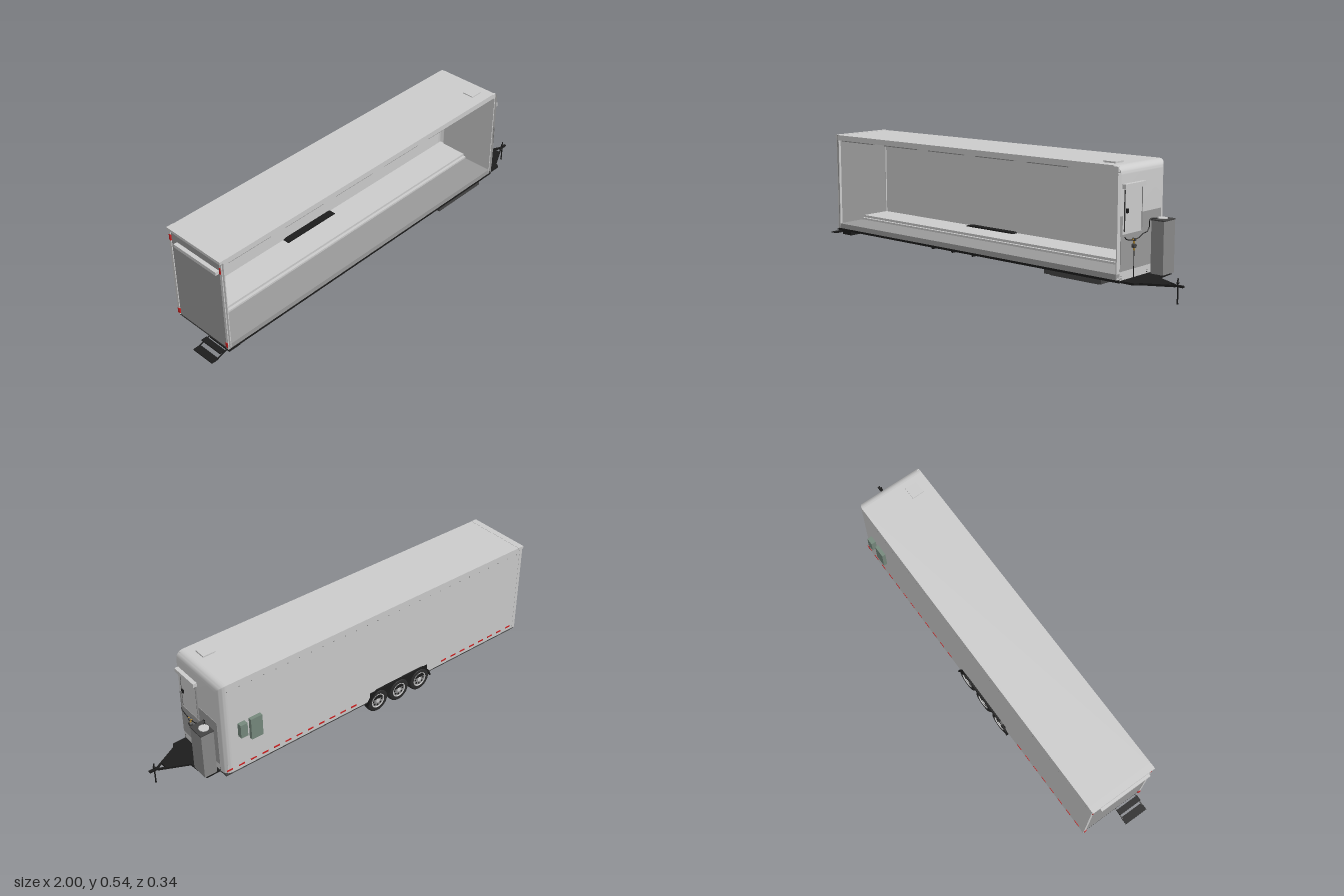
import * as THREE from 'three';
import { toCreasedNormals } from 'three/addons/utils/BufferGeometryUtils.js';

const mat = (color, side = THREE.FrontSide) => new THREE.MeshStandardMaterial({ color, side });
const GREY = mat(0xcccccc), BLACK = mat(0x1c1c1c), DARK = mat(0x444444), PLATE = mat(0x999999);
const RED = mat(0xcc2020), GREEN = mat(0x76897d), BRASS = mat(0xb08a3a), STEEL = mat(0x888888);

export function createModel() {
  const root = new THREE.Group();
  const add = (name, geo, m = GREY, parent = root) => {
    const mesh = new THREE.Mesh(geo, m);
    mesh.name = name;
    parent.add(mesh);
    return mesh;
  };
  // Box given by its limits on each axis
  const box = (name, [x0, x1], [y0, y1], [z0, z1], m, parent) => {
    const b = add(name, new THREE.BoxGeometry(x1 - x0, y1 - y0, z1 - z0), m, parent);
    b.position.set((x0 + x1) / 2, (y0 + y1) / 2, (z0 + z1) / 2);
    return b;
  };
  const shapeOf = pts => new THREE.Shape(pts.map(p => new THREE.Vector2(...p)));
  const extrude = (shape, depth) => new THREE.ExtrudeGeometry(shape, { depth, bevelEnabled: false, curveSegments: 12 });

  const L = -0.92, R = 0.73, BACK = -0.145, FRONT = 0.17, BASE = 0.077, TOP = 0.533, r = 0.035;

  // Body shell, open along the front side
  box('backWall', [L, R], [BASE, TOP], [BACK, BACK + 0.006]);
  box('roof', [L, R], [TOP - 0.012, TOP], [BACK, FRONT]);
  box('roofHeader', [L, R + 0.02], [TOP - 0.025, TOP - 0.004], [FRONT - 0.012, FRONT]);
  box('rearWall', [L, L + 0.008], [BASE, TOP], [BACK, FRONT], PLATE);
  box('noseInnerWall', [R + 0.015, R + 0.02], [BASE, TOP - 0.03], [BACK + 0.03, FRONT]);
  box('rearRoofCap', [L - 0.01, L + 0.02], [TOP - 0.012, TOP + 0.001], [BACK - 0.001, FRONT]);
  box('rearPostFront', [L - 0.004, L + 0.012], [BASE, TOP], [FRONT - 0.012, FRONT]);
  box('rearPostBack', [L - 0.004, L + 0.012], [BASE, TOP], [BACK - 0.001, BACK + 0.012]);

  // Nose skin: two rounded edges that meet in a mitre
  const N = 10;
  const arc = Array.from({ length: N + 1 }, (_, i) => i * Math.PI / 2 / N);
  const ys = [[BASE, 0], ...arc.map(a => [TOP - r + r * Math.sin(a), a])];
  const zs = [[FRONT, 0], ...arc.map(a => [BACK + r - r * Math.sin(a), a])];
  const nose = new THREE.PlaneGeometry(1, 1, zs.length - 1, ys.length - 1);
  const p = nose.attributes.position;
  for (let j = 0; j < ys.length; j++) for (let i = 0; i < zs.length; i++) {
    const [y, a] = ys[ys.length - 1 - j], [z, b] = zs[i];
    p.setXYZ(j * zs.length + i, R + r * Math.min(Math.cos(a), Math.cos(b)), y, z);
  }
  add('noseSkin', toCreasedNormals(nose, 0.6), mat(0xcccccc, THREE.DoubleSide));

  // Floor, sill and chassis
  box('raisedFloor', [L + 0.008, R + 0.02], [BASE, 0.12], [BACK + 0.005, 0.012]);
  box('lowerFloor', [L + 0.008, R + 0.02], [BASE, 0.1], [0.012, FRONT], PLATE);
  box('floorLedge', [L + 0.008, R + 0.02], [0.1, 0.109], [0.012, 0.025]);
  box('undersidePlate', [L, R + 0.033], [0.069, BASE], [BACK + 0.002, FRONT], DARK);
  box('sideRail', [L, R + 0.033], [0.067, BASE], [FRONT - 0.008, FRONT + 0.0005], BLACK);
  box('chassisBeam', [L + 0.02, R + 0.03], [0.06, 0.069], [-0.105, -0.08], BLACK);
  box('underTank', [0.38, 0.675], [0.049, 0.07], [0.01, FRONT], DARK);
  box('underTankLid', [0.40, 0.655], [0.042, 0.049], [0.04, 0.155], DARK);
  box('rearUtilityBox', [-0.84, -0.78], [0.04, 0.07], [-0.095, -0.03]);

  // Ceiling lamps along the opening
  for (const x of [-0.885, -0.59, -0.3, -0.01, 0.28])
    box('openingLamp', [x, x + 0.22], [0.504, 0.514], [FRONT - 0.02, FRONT - 0.002], STEEL);

  // Wheels
  const tyreProfile = [[0.034, -0.019], [0.05, -0.02], [0.056, -0.016], [0.058, -0.008], [0.058, 0.008],
    [0.056, 0.016], [0.05, 0.02], [0.034, 0.019]].map(q => new THREE.Vector2(...q));
  for (const x of [-0.305, -0.18, -0.055]) {
    const wheel = new THREE.Group();
    wheel.name = 'wheel';
    add('tyre', new THREE.LatheGeometry(tyreProfile, 36), mat(0x2b2b2b, THREE.DoubleSide), wheel);
    add('rim', new THREE.CylinderGeometry(0.036, 0.036, 0.03, 30), STEEL, wheel);
    add('rimRing', new THREE.TorusGeometry(0.034, 0.003, 8, 30).rotateX(Math.PI / 2), GREY, wheel).position.y = 0.017;
    add('hub', new THREE.CylinderGeometry(0.01, 0.012, 0.04, 16), GREY, wheel);
    for (let k = 0; k < 8; k++) {
      const a = k * Math.PI / 4;
      add('rimHole', new THREE.CylinderGeometry(0.005, 0.005, 0.032, 8), BLACK, wheel)
        .position.set(0.024 * Math.cos(a), 0, 0.024 * Math.sin(a));
    }
    wheel.rotation.x = -Math.PI / 2;
    wheel.position.set(x, 0.058, -0.129);
    root.add(wheel);
    const axle = add('axle', new THREE.CylinderGeometry(0.007, 0.007, 0.26, 12), BLACK);
    axle.rotation.x = Math.PI / 2;
    axle.position.set(x, 0.058, 0.01);
  }

  // Wheel arch trim
  const arch = shapeOf([[-0.37, 0.056], [-0.36, 0.085], [-0.33, 0.119], [-0.315, 0.126], [-0.045, 0.126],
    [-0.03, 0.119], [0, 0.085], [0.01, 0.056], [0.003, 0.056], [-0.008, 0.083], [-0.035, 0.112],
    [-0.05, 0.119], [-0.31, 0.119], [-0.325, 0.112], [-0.352, 0.083], [-0.363, 0.056]]);
  add('wheelArch', extrude(arch, 0.048), BLACK).position.z = -0.154;
  box('wheelWellBack', [-0.35, -0.01], [0.067, 0.12], [BACK - 0.001, BACK + 0.002], BLACK);

  // Reflective dashes and rivets on the back side
  for (let x = -0.89; x < 0.75; x += 0.06) {
    if (x < -0.41 || x > 0.015) box('redReflector', [x, x + 0.03], [0.093, 0.1], [BACK - 0.002, BACK], RED);
    box('rivet', [x, x + 0.004], [0.5, 0.504], [BACK - 0.0015, BACK], STEEL);
  }

  // Air units on the back side
  box('largeAirUnit', [0.58, 0.637], [0.215, 0.32], [-0.162, BACK], GREEN);
  box('smallAirUnit', [0.658, 0.692], [0.254, 0.32], [-0.168, BACK], GREEN);

  // Roof vent
  box('roofVent', [0.645, 0.7], [TOP, 0.538], [0.065, 0.12], GREY);
  box('roofVentLid', [0.64, 0.7], [0.536, 0.54], [0.064, 0.122], GREY);

  // Nose: tread plate with door notch, door, canopy
  const X = R + r;
  const plate = shapeOf([[-FRONT, 0.113], [0.108, 0.113], [0.108, 0.335], [-0.025, 0.335], [-0.025, 0.26],
    [-0.158, 0.26], [-0.158, 0.335], [-FRONT, 0.335]]);
  add('nosePlate', extrude(plate, 0.002).rotateY(Math.PI / 2), PLATE).position.x = X;
  box('noseDoor', [X, X + 0.004], [0.268, 0.441], [0.032, 0.147]);
  box('doorHinge', [X, X + 0.006], [0.268, 0.441], [0.03, 0.033], STEEL);
  box('doorEdge', [X, X + 0.005], [0.272, 0.437], [0.146, 0.148], DARK);
  box('doorHandle', [X, X + 0.01], [0.345, 0.363], [0.129, 0.14], BLACK);
  box('doorCanopy', [X, X + 0.018], [0.444, 0.462], [0.023, 0.163]);
  for (const z of [0.163, -0.015, -0.106]) for (const y of [0.083, 0.092])
    box('noseBolt', [X, X + 0.003], [y, y + 0.003], [z - 0.0015, z + 0.0015], DARK);

  // Cabinet on the tongue
  box('noseCabinet', [X + 0.015, 0.84], [BASE, 0.3], [-0.101, -0.021], STEEL);
  box('cabinetTop', [X + 0.013, 0.842], [0.296, 0.301], [-0.102, -0.02], DARK);
  add('cabinetCap', new THREE.CylinderGeometry(0.022, 0.022, 0.004, 24), GREY).position.set(0.803, 0.302, -0.065);

  // Gas line with valves
  const V = (y, z, x = X + 0.01) => new THREE.Vector3(x, y, z);
  const hose = new THREE.CatmullRomCurve3([V(0.255, 0.156), V(0.243, 0.145), V(0.235, 0.115), V(0.234, 0.09),
    V(0.236, 0.06), V(0.248, 0.03), V(0.254, 0), V(0.27, -0.014), V(0.297, -0.017), V(0.303, -0.03),
    V(0.302, -0.05, X + 0.03)]);
  add('gasHose', new THREE.TubeGeometry(hose, 60, 0.002, 8), BLACK);
  const pipe = add('gasPipe', new THREE.CylinderGeometry(0.0016, 0.0016, 0.157, 8), BLACK);
  pipe.position.copy(V(0.155, 0.09));
  box('brassTee', [X + 0.007, X + 0.013], [0.233, 0.237], [0.077, 0.103], BRASS);
  box('brassStem', [X + 0.007, X + 0.013], [0.19, 0.235], [0.088, 0.092], BRASS);
  for (const [y, rad] of [[0.234, 0.006], [0.208, 0.009]]) {
    const valve = add('gasValve', new THREE.CylinderGeometry(rad, rad, 0.014, 16), DARK);
    valve.rotation.z = Math.PI / 2;
    valve.position.copy(V(y, 0.09));
  }

  // Tongue, coupler and jack
  const tongue = shapeOf([[X - 0.03, -0.1], [0.83, -0.1], [0.84, 0.008], [0.965, 0.068], [0.965, 0.08],
    [0.84, 0.145], [0.83, 0.165], [X - 0.03, 0.165]]);
  tongue.holes.push(new THREE.Path([[0.932, 0.058], [0.932, 0.091], [0.96, 0.075]].map(q => new THREE.Vector2(...q))));
  add('tongueFrame', extrude(tongue, 0.009).rotateX(Math.PI / 2), BLACK).position.y = 0.077;
  box('coupler', [0.955, 1], [0.07, 0.078], [0.07, 0.081], BLACK);
  add('jackPost', new THREE.CylinderGeometry(0.003, 0.003, 0.1, 10), BLACK).position.set(0.975, 0.055, 0.077);
  add('jackFoot', new THREE.CylinderGeometry(0.004, 0.004, 0.004, 12), BLACK).position.set(0.975, 0.004, 0.077);
  add('jackHead', new THREE.SphereGeometry(0.006, 12, 8), BLACK).position.set(0.975, 0.087, 0.077);

  // Rear steps
  box('upperTread', [-0.955, -0.928], [0.061, 0.066], [0.037, 0.152], BLACK);
  box('lowerTread', [-1, -0.964], [0.041, 0.045], [0.037, 0.152], BLACK);
  box('stepCarrier', [-0.91, -0.85], [0.045, 0.07], [0.035, 0.155], BLACK);
  for (const z of [0.04, 0.149]) {
    const arm = box('stepArm', [-0.985, -0.9], [0.051, 0.055], [z - 0.002, z + 0.002], BLACK);
    arm.rotation.z = 0.3;
  }

  // Rear canopy and marker lights
  box('rearCanopy', [L - 0.018, L], [0.462, 0.478], [-0.1, 0.15]);
  for (const z of [BACK + 0.008, FRONT - 0.008]) {
    box('rearMarker', [L - 0.006, L], [0.47, 0.5], [z - 0.004, z + 0.004], RED);
    box('rearLamp', [L - 0.006, L], [0.085, 0.11], [z - 0.006, z + 0.006], RED);
  }
  return root;
}
